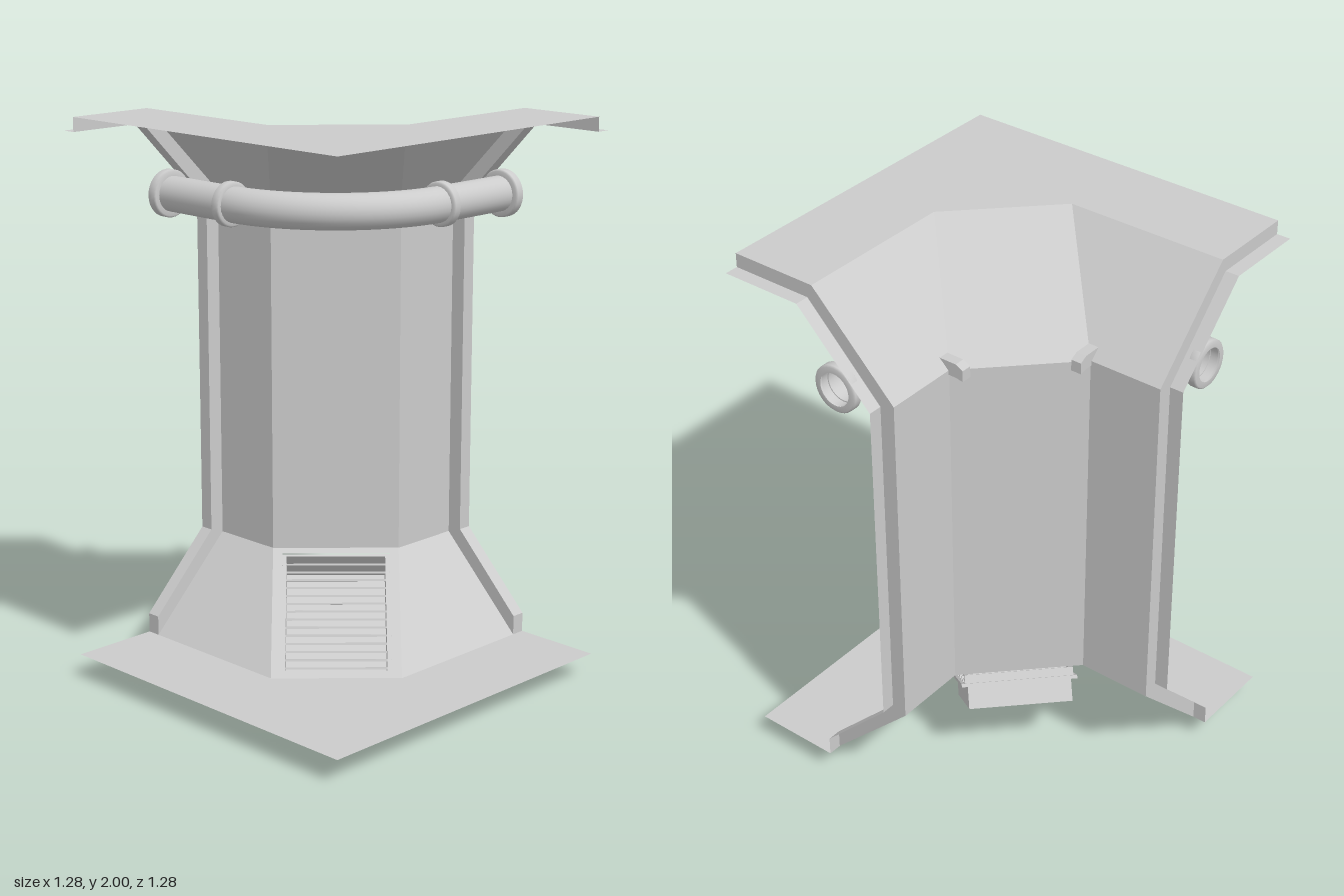
import * as THREE from 'three';

const mat = new THREE.MeshStandardMaterial({ color: 0xcccccc, side: THREE.DoubleSide });
const PIPE_Y = 1.69, PIPE_R = 0.0625, PIPE_Z = 0.2;

// Flat panels spanning two polylines of [x, y, z] points
function strip(a, b) {
  const pos = [];
  for (let i = 0; i < a.length - 1; i++) {
    pos.push(...a[i], ...a[i + 1], ...b[i + 1], ...a[i], ...b[i + 1], ...b[i]);
  }
  const g = new THREE.BufferGeometry();
  g.setAttribute('position', new THREE.Float32BufferAttribute(pos, 3));
  g.computeVertexNormals();
  return g;
}

// Copy reflected across the corner's diagonal plane (x and z swapped)
function reflect(geo) {
  const g = geo.clone();
  g.applyMatrix4(new THREE.Matrix4().set(0, 0, 1, 0, 0, 1, 0, 0, 1, 0, 0, 0, 0, 0, 0, 1));
  const n = g.attributes.position.count;
  const idx = g.index ? [...g.index.array] : Array.from({ length: n }, (_, i) => i);
  for (let i = 0; i < idx.length; i += 3) [idx[i], idx[i + 1]] = [idx[i + 1], idx[i]];
  g.setIndex(idx);
  return g;
}

function add(parent, name, geo) {
  const m = new THREE.Mesh(geo, mat);
  m.name = name;
  parent.add(m);
  return m;
}

function addPair(parent, name, geo) {
  add(parent, name + 'Right', geo);
  add(parent, name + 'Left', reflect(geo));
}

function rect(w, h, Type = THREE.Shape) {
  const x = w / 2, y = h / 2;
  return new Type([[-x, -y], [x, -y], [x, y], [-x, y]].map(p => new THREE.Vector2(...p)));
}

function rectRing(w, h, iw, ih) {
  const s = rect(w, h);
  s.holes.push(rect(iw, ih, THREE.Path));
  return s;
}

// Square slab with the chamfered wall corner cut away; e is where its arms end
function slab(e) {
  return new THREE.Shape([[-e, 0.32], [0, 0.32], [0.32, 0], [0.32, -e], [0.64, -e], [0.64, 0.64], [-e, 0.64]]
    .map(p => new THREE.Vector2(...p)));
}

// Ring around the pipe, lying along x between x0 and x1
function collar(x0, x1, r) {
  const c = 0.006;
  const pts = [[PIPE_R - 0.004, x0], [r - c, x0], [r, x0 + c], [r, x1 - c], [r - c, x1], [PIPE_R - 0.004, x1]];
  const parts = pts.map(p => new THREE.Vector2(...p));
  const g = new THREE.LatheGeometry(parts, 32).toNonIndexed();
  g.rotateZ(-Math.PI / 2).translate(0, PIPE_Y, PIPE_Z);
  return g;
}

export function createModel() {
  const root = new THREE.Group();
  root.name = 'corridorCorner';

  // Walls: [z, y] profile from ceiling edge to floor edge
  const profile = [[0.32, 2], [0, 1.68], [0, 0.41], [0.32, 0.09]];
  const at = (x, list) => list.map(([z, y]) => [x, y, z]);
  const crease = profile.map(([z, y]) => [z - 0.32, y, z]);
  addPair(root, 'sideWall', strip(at(-0.59, profile), crease));
  const upper = crease.slice(0, 3);
  add(root, 'diagonalWall', strip(upper, upper.map(([x, y, z]) => [z, y, x])));

  // Floor and ceiling
  const ceiling = new THREE.ShapeGeometry(slab(0.59));
  ceiling.rotateX(Math.PI / 2).translate(0, 2, 0);
  add(root, 'ceiling', ceiling);
  const floor = new THREE.ShapeGeometry(slab(0.64));
  floor.rotateX(Math.PI / 2).translate(0, 0.09, 0);
  add(root, 'floor', floor);

  // Raised end ribs, open behind
  const inner = [[0.64, 2], ...profile];
  const outer = [[0.64, 1.95], [0.34, 1.95], [0.055, 1.66], [0.055, 0.43], [0.32, 0.16]];
  const face = [...outer, [0.32, 0.09]];
  addPair(root, 'endRibSide', strip(at(-0.59, outer), at(-0.59, inner)));
  addPair(root, 'endRibFace', strip(at(-0.64, face), at(-0.59, face)));

  // Sloped vent panel: local x across, y up the slope, z out of the panel
  const vent = new THREE.Group();
  vent.name = 'vent';
  const X = new THREE.Vector3(1, 0, -1).normalize();
  const Y = new THREE.Vector3(-1, 1, -1).normalize();
  vent.quaternion.setFromRotationMatrix(new THREE.Matrix4().makeBasis(X, Y, X.clone().cross(Y)));
  vent.position.y = 0.25;
  root.add(vent);
  const W = 0.385, H = 0.505;
  add(vent, 'ventPanel', new THREE.ShapeGeometry(rectRing(0.32 * Math.SQRT2, 0.32 * Math.sqrt(3), W, H)));

  // Recessed box behind the opening, with a wider lip
  const ring = (name, w, h, z0, z1) => {
    const g = new THREE.ExtrudeGeometry(rectRing(w, h, W - 0.03, H - 0.02), { depth: z1 - z0, bevelEnabled: false });
    add(vent, name, g.translate(0, 0, z0));
  };
  ring('ventFrame', W, H, -0.035, -0.006);
  ring('ventLip', W + 0.025, H + 0.015, -0.047, -0.035);
  ring('ventBoxSides', W - 0.018, H - 0.005, -0.124, -0.047);
  add(vent, 'ventBoxBack', new THREE.BoxGeometry(W - 0.018, H - 0.005, 0.006).translate(0, 0, -0.123));

  // Louvres
  const count = 14;
  for (let i = 0; i < count; i++) {
    const slat = add(vent, 'ventSlat', new THREE.BoxGeometry(W + 0.005, 0.007, 0.036));
    slat.position.set(0, ((i + 0.5) / count - 0.5) * (H - 0.03), -0.026);
    slat.rotation.x = 0.6;
  }

  // Pipe: two straight runs joined by a quarter bend
  const bend = new THREE.TorusGeometry(0.5, PIPE_R, 24, 32, Math.PI / 2);
  bend.rotateX(Math.PI / 2).translate(-0.3, PIPE_Y, -0.3);
  add(root, 'pipeBend', bend);
  const run = new THREE.CylinderGeometry(PIPE_R, PIPE_R, 0.33, 32, 1, true);
  run.rotateZ(Math.PI / 2).translate(-0.465, PIPE_Y, PIPE_Z);
  addPair(root, 'pipeRun', run);
  addPair(root, 'pipeEndFlange', collar(-0.64, -0.602, 0.084));
  addPair(root, 'pipeCollar', collar(-0.323, -0.287, 0.078));

  // Brackets holding the pipe, passing through the wall: [z, y] outline
  const arm = new THREE.Shape([[0.15, 1.665], [0.15, 1.715], [-0.03, 1.715], [-0.058, 1.7], [-0.058, 1.66], [-0.03, 1.665]]
    .map(([z, y]) => new THREE.Vector2(-z, y)));
  const bracket = new THREE.ExtrudeGeometry(arm, { depth: 0.038, bevelEnabled: false });
  bracket.rotateY(Math.PI / 2).translate(-0.324, 0, 0);
  addPair(root, 'pipeBracket', bracket);

  return root;
}
